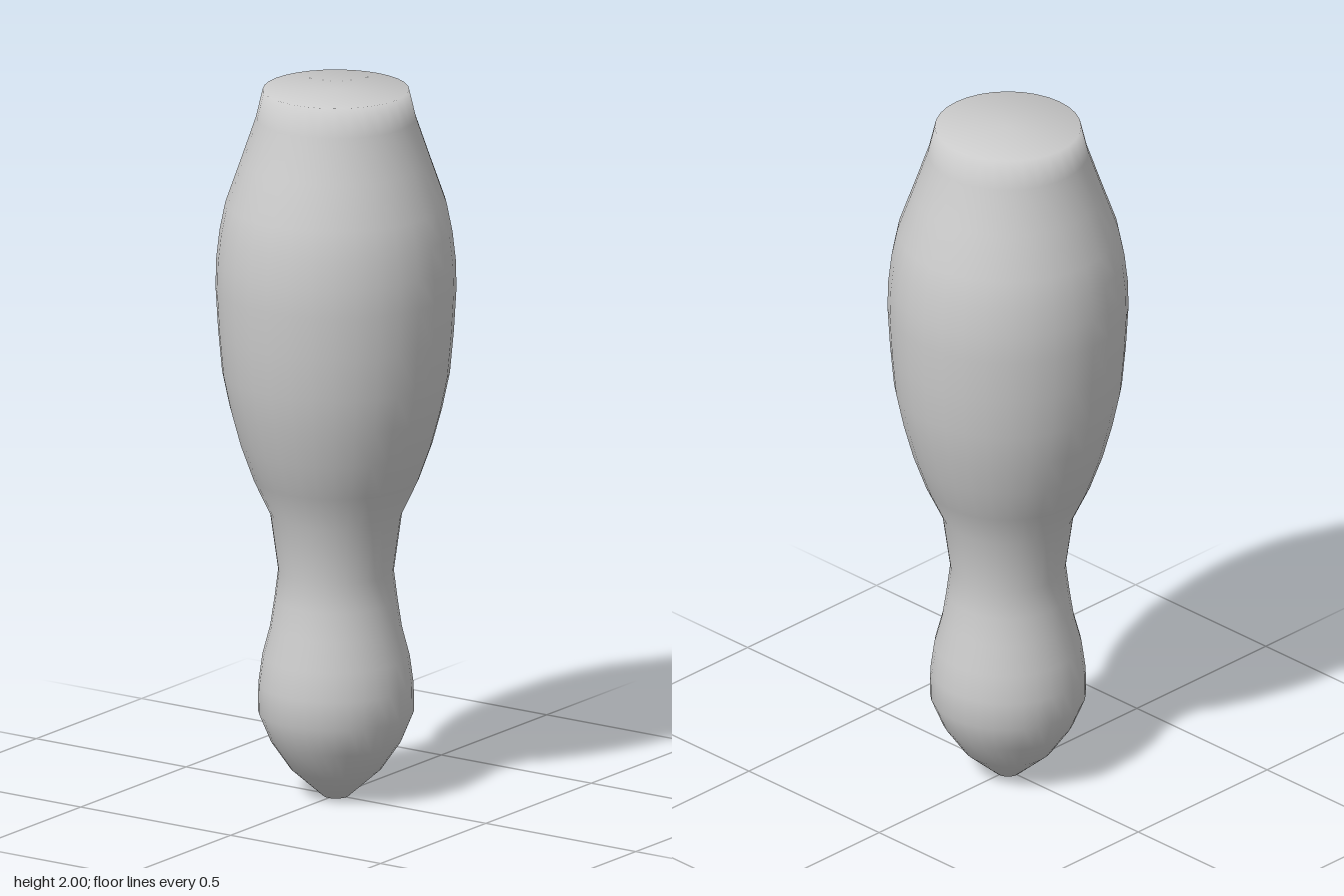
import * as THREE from 'three';

// Radius and height of each ring, from the pointed foot to the closed top
const PROFILE = [
  [0, 0], [0.035, 0], [0.125, 0.08], [0.18, 0.16], [0.213, 0.24], [0.212, 0.32],
  [0.201, 0.4], [0.18, 0.48], [0.168, 0.56], [0.158, 0.64], [0.18, 0.8],
  [0.227, 0.9], [0.263, 1.0], [0.29, 1.1], [0.311, 1.2], [0.322, 1.32],
  [0.329, 1.44], [0.327, 1.52], [0.318, 1.6], [0.302, 1.68], [0.26, 1.8],
  [0.219, 1.92], [0.2, 2], [0, 2],
];

export function createModel() {
  const group = new THREE.Group();
  group.name = 'turnedHandle';

  // One smooth turned body, flat-topped with a soft-shaded rim
  const points = PROFILE.map(([r, y]) => new THREE.Vector2(r, y));
  const body = new THREE.Mesh(
    new THREE.LatheGeometry(points, 32),
    new THREE.MeshStandardMaterial({ color: 0xcccccc }),
  );
  body.name = 'body';
  group.add(body);

  return group;
}
